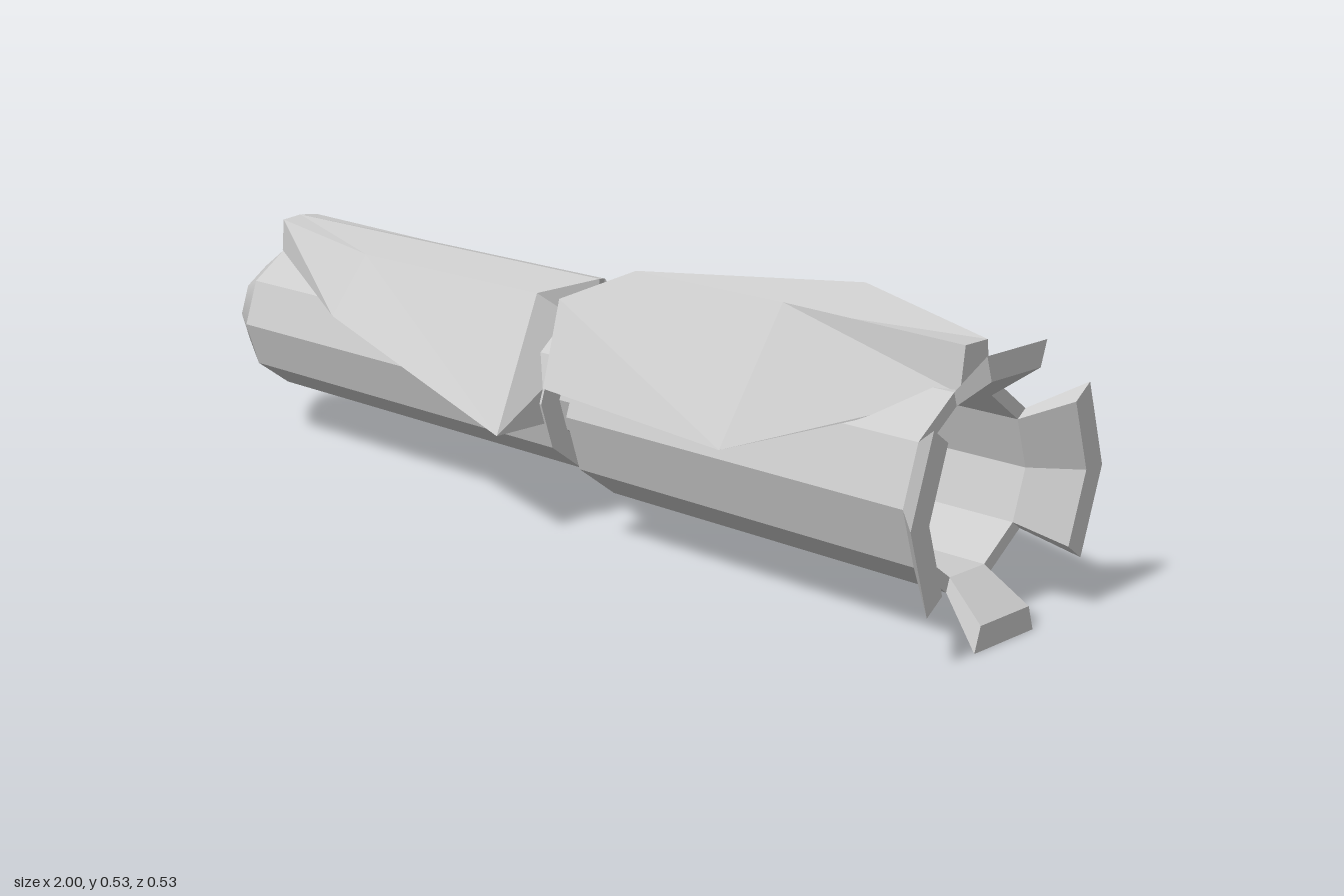
import * as THREE from 'three';
import { toCreasedNormals } from 'three/addons/utils/BufferGeometryUtils.js';

const AXIS_Y = 0.25;
const flat = new THREE.MeshStandardMaterial({ color: 0xcccccc, flatShading: true, side: THREE.DoubleSide });
const smooth = new THREE.MeshStandardMaterial({ color: 0xcccccc, side: THREE.DoubleSide });

// Ten-sided turned part along x; profile points are [x, radius]
function turned(profile, start = 0, length = Math.PI * 2, sides = 10) {
  const pts = profile.map(([x, r]) => new THREE.Vector2(r, x));
  return new THREE.LatheGeometry(pts, sides, start, length)
    .rotateZ(-Math.PI / 2)
    .translate(0, AXIS_Y, 0);
}

// Faceted sheet spanned between successive rows of [x, y, z] points
function sheet(rows) {
  const pos = [];
  for (let i = 0; i < rows.length - 1; i++) {
    for (let j = 0; j < rows[i].length - 1; j++) {
      const a = rows[i][j], b = rows[i][j + 1], c = rows[i + 1][j + 1], d = rows[i + 1][j];
      pos.push(...a, ...b, ...c, ...a, ...c, ...d);
    }
  }
  const g = new THREE.BufferGeometry();
  g.setAttribute('position', new THREE.Float32BufferAttribute(pos, 3));
  g.computeVertexNormals();
  return g;
}

function add(parent, name, geometry, material = flat) {
  const mesh = new THREE.Mesh(geometry, material);
  mesh.name = name;
  parent.add(mesh);
}

// Armour cowl: half sections from the centre ridge outwards, mirrored in z, with one end capped
function cowl(name, sections, caps) {
  const group = new THREE.Group();
  group.name = name;
  for (const side of [1, -1]) {
    const rows = sections.map(s => s.map(([x, y, z]) => [x, y, z * side]));
    add(group, name + 'Shell', sheet(rows));
    for (const { row, hub } of caps) {
      add(group, name + 'End', sheet([rows[row], rows[row].map(() => hub)]));
    }
  }
  return group;
}

// Flared exhaust petal covering a number of decagon sides
function petal(centre, sides) {
  const group = new THREE.Group();
  group.name = 'exhaustPetal';
  const span = sides * Math.PI / 5, start = centre - span / 2;
  const outer = [[0.92, 0.18], [1, 0.263]], inner = [[0.92, 0.154], [1, 0.216]];
  add(group, 'petalShell', turned([...outer, inner[1], inner[0], outer[0]], start, span, sides));
  // Flat side walls of the petal
  for (const a of [start, start + span]) {
    const at = ([x, r]) => [x, AXIS_Y - r * Math.sin(a), r * Math.cos(a)];
    add(group, 'petalSide', sheet([outer.map(at), inner.map(at)]));
  }
  return group;
}

export function createModel() {
  const model = new THREE.Group();
  model.name = 'rocketBody';

  // Nose and ten-sided hulls
  add(model, 'nose', toCreasedNormals(turned([[-1, 0], [-1, 0.03], [-0.93, 0.1], [-0.845, 0.152]]), 0.6), smooth);
  add(model, 'frontHull', turned([[-0.845, 0.152], [0.055, 0.152], [0.055, 0]]));
  add(model, 'neck', turned([[0.05, 0.105], [0.16, 0.105]]));
  add(model, 'rearHull', turned([[0.15, 0], [0.15, 0.18], [0.92, 0.18], [0.92, 0.154], [0.62, 0.154], [0.62, 0]]));

  // Front cowl, widening to swept tips at the rear
  model.add(cowl('frontCowl', [
    [[-0.845, 0.465, 0], [-0.845, 0.46, 0.045], [-0.845, 0.395, 0.05], [-0.845, 0.385, 0.04]],
    [[-0.52, 0.465, 0], [-0.52, 0.44, 0.09], [-0.52, 0.327, 0.18], [-0.52, 0.32, 0.12]],
    [[0.055, 0.465, 0], [-0.02, 0.44, 0.09], [0.05, 0.21, 0.26], [0.05, 0.21, 0.14]],
  ], [{ row: 0, hub: [-0.845, 0.39, 0] }, { row: 2, hub: [0.05, 0.36, 0] }]));

  // Rear cowl with a notched front and a valley along the top
  model.add(cowl('rearCowl', [
    [[0.15, 0.495, 0], [0.06, 0.445, 0.11], [0.11, 0.3, 0.2], [0.15, 0.3, 0.16]],
    [[0.6, 0.488, 0], [0.6, 0.527, 0.11], [0.6, 0.3, 0.265], [0.6, 0.3, 0.16]],
    [[0.92, 0.495, 0], [0.92, 0.495, 0.03], [0.92, 0.415, 0.04], [0.92, 0.41, 0.04]],
  ], [{ row: 0, hub: [0.15, 0.4, 0] }, { row: 2, hub: [0.92, 0.41, 0] }]));

  // Exhaust petals: wide ones on the flanks, narrow ones above and below
  for (const [centre, sides] of [[0, 2], [Math.PI, 2], [Math.PI / 2, 1], [-Math.PI / 2, 1]]) {
    model.add(petal(centre, sides));
  }
  return model;
}
